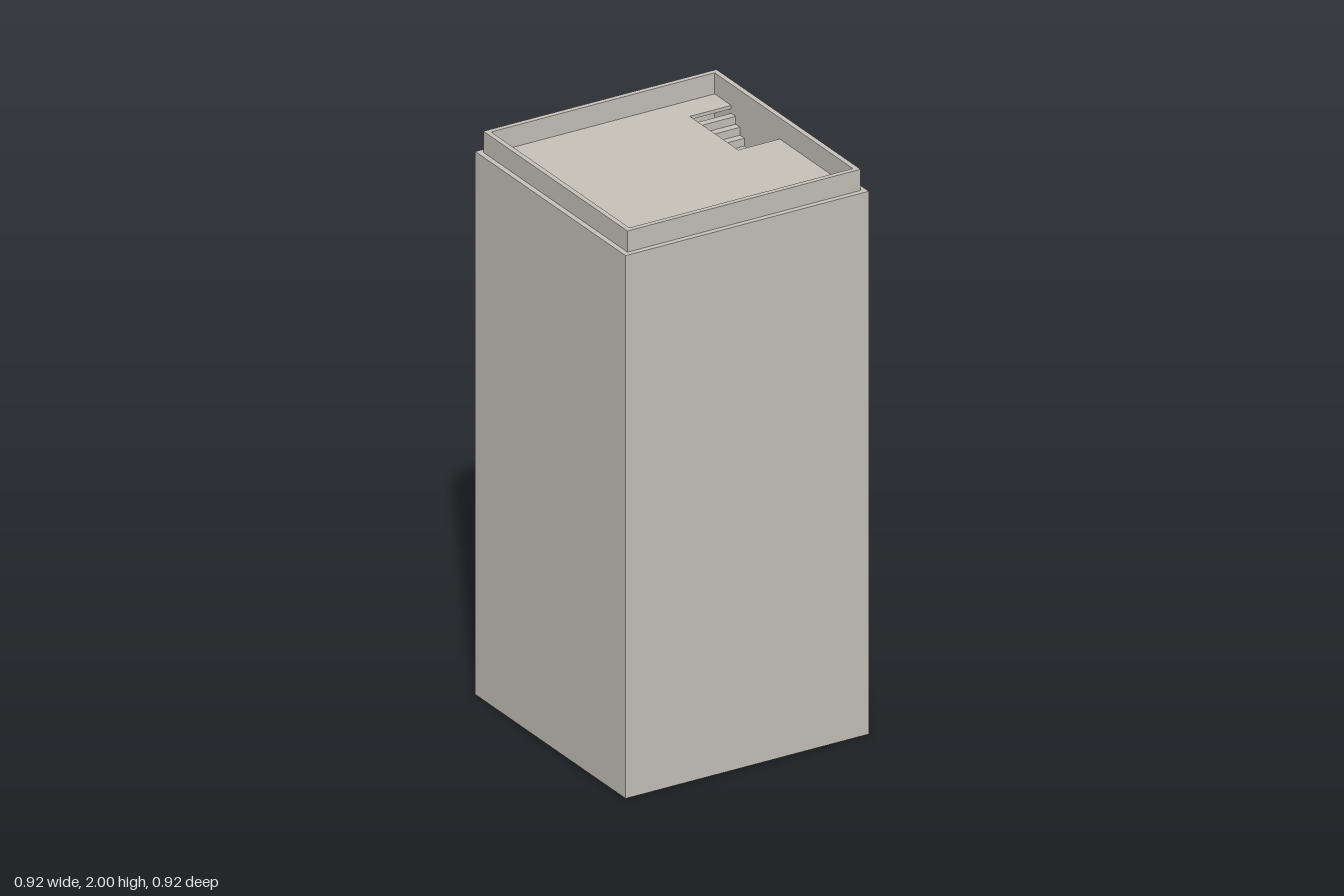
import * as THREE from 'three';

const OUT = 0.458, RIM = 0.439, IN = 0.421; // half widths: wall, parapet, inside
const BODY = 1.925, TOP = 2, SLAB = 0.012;
const HOLE = { x0: 0.265, x1: IN, z0: -0.32, z1: -0.025 };

// Points of a rectangle in plan
const rect = (x0, x1, z0, z1) => [[x0, -z0], [x0, -z1], [x1, -z1], [x1, -z0]]
  .map(([x, y]) => new THREE.Vector2(x, y));
const square = (h) => rect(-h, h, -h, h);

// Extrude a plan outline upwards from y0 to y1
function slab(name, outline, hole, y0, y1, material) {
  const shape = new THREE.Shape(outline);
  if (hole) shape.holes.push(new THREE.Path(hole));
  const geo = new THREE.ExtrudeGeometry(shape, { depth: y1 - y0, bevelEnabled: false });
  geo.rotateX(-Math.PI / 2);
  geo.translate(0, y0, 0);
  const mesh = new THREE.Mesh(geo, material);
  mesh.name = name;
  return mesh;
}

export function createModel() {
  const model = new THREE.Group();
  model.name = 'tower';
  const stone = new THREE.MeshStandardMaterial({ color: 0xc8c4bb });
  stone.name = 'pale stone';

  // Hollow shaft with a base plate and a stepped-in parapet
  model.add(slab('outerWalls', square(OUT), square(IN), 0, BODY, stone));
  model.add(slab('parapet', square(RIM), square(IN), BODY, TOP, stone));
  model.add(slab('basePlate', square(IN), null, 0, SLAB, stone));

  // Roof deck, notched at the wall for the stairwell
  const deck = [
    [-IN, -IN], [-IN, IN], [IN, IN], [IN, HOLE.z1],
    [HOLE.x0, HOLE.z1], [HOLE.x0, HOLE.z0], [IN, HOLE.z0], [IN, -IN],
  ].map(([x, z]) => new THREE.Vector2(x, -z));
  model.add(slab('roofDeck', deck, null, BODY - SLAB, BODY, stone));

  // Stairs climbing towards the back
  const stairs = new THREE.Group();
  stairs.name = 'stairs';
  const count = 11, run = (HOLE.z1 - HOLE.z0) / count, rise = 0.028;
  const stepGeo = new THREE.BoxGeometry(HOLE.x1 - HOLE.x0, rise * 1.5, run);
  for (let i = 0; i < count; i++) {
    const step = new THREE.Mesh(stepGeo, stone);
    step.name = 'step';
    step.position.set((HOLE.x0 + HOLE.x1) / 2, BODY - rise * (i + 1.75), HOLE.z0 + run * (i + 0.5));
    stairs.add(step);
  }
  model.add(stairs);
  return model;
}
